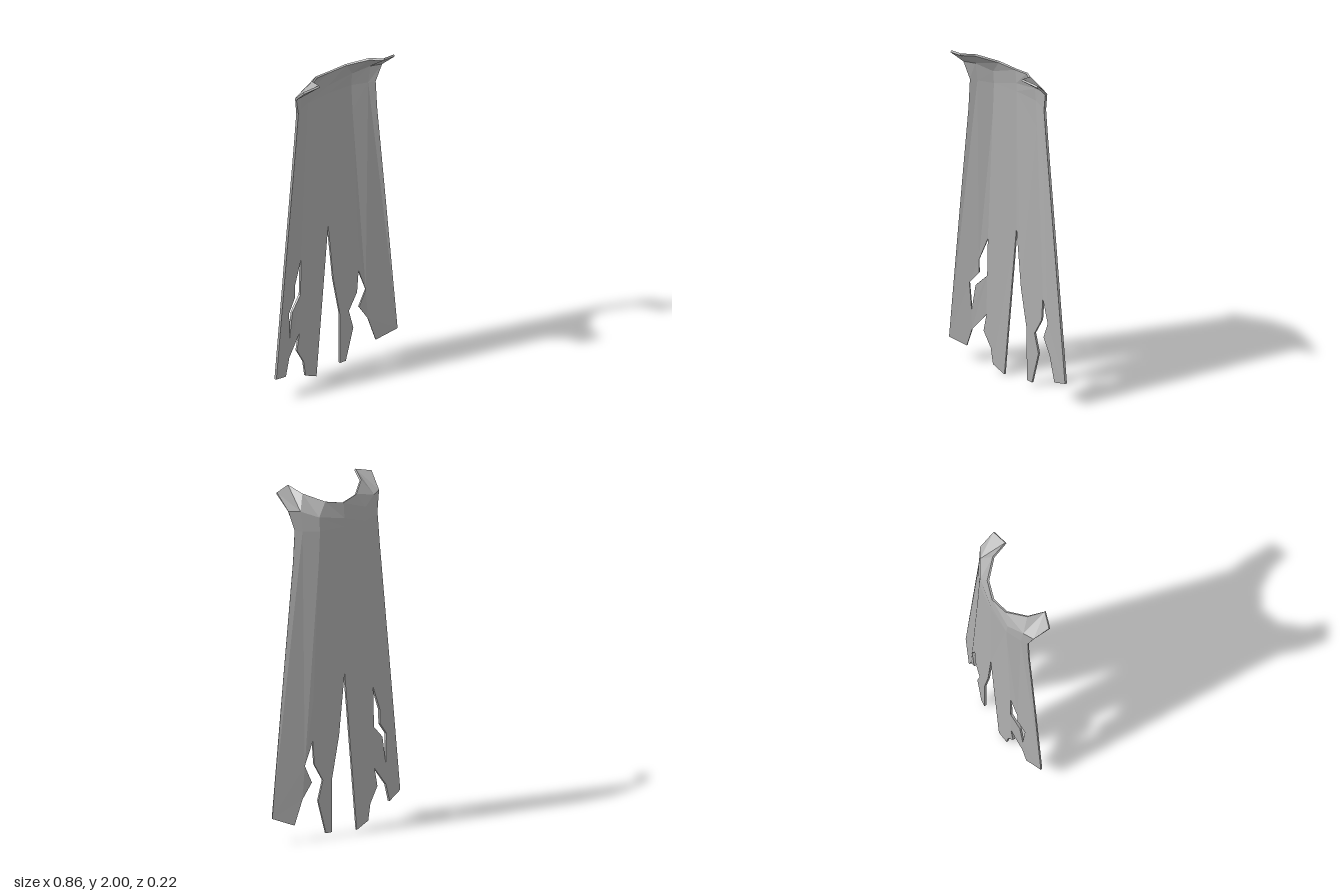
import * as THREE from 'three';

const THICKNESS = 0.012;

// Depth of the hanging cloth: shallow back between two creases, sides wrapping forward
function drape(x, y) {
  const a = Math.abs(x);
  const crease = 0.155 + (1.77 - y) * 0.043;
  const edge = 0.275 + (1.78 - y) * 0.095;
  if (a <= crease) return -0.107 + 0.012 * (a / crease);
  const t = Math.min(1, (a - crease) / (edge - crease));
  return -0.095 + 0.066 * Math.pow(t, 1.25);
}

// Turns front-facing outlines into one welded sheet, then gives it thickness
function clothGeometry(faces) {
  const points = [], lookup = new Map(), tris = [];
  const indexOf = ([x, y, z = drape(x, y)]) => {
    const key = `${x.toFixed(3)},${y.toFixed(3)}`;
    if (!lookup.has(key)) lookup.set(key, points.push(new THREE.Vector3(x, y, z)) - 1);
    return lookup.get(key);
  };
  for (const face of faces) {
    const ids = face.map(indexOf);
    const outline = face.map(([x, y]) => new THREE.Vector2(x, y));
    for (const [i, j, k] of THREE.ShapeUtils.triangulateShape(outline, [])) {
      const ccw = THREE.ShapeUtils.area([outline[i], outline[j], outline[k]]) > 0;
      tris.push(ccw ? [ids[i], ids[j], ids[k]] : [ids[i], ids[k], ids[j]]);
    }
  }
  const sheet = new THREE.BufferGeometry().setFromPoints(points);
  sheet.setIndex(tris.flat());
  sheet.computeVertexNormals();
  const normals = sheet.attributes.normal;
  const offset = (s) => points.map((p, i) =>
    p.clone().addScaledVector(new THREE.Vector3().fromBufferAttribute(normals, i), s * THICKNESS / 2));

  // Front and back skins, plus a rim along every edge used only once
  const n = points.length, index = [], edges = new Set();
  for (const [a, b, c] of tris) {
    index.push(a, b, c, a + n, c + n, b + n);
    for (const [p, q] of [[a, b], [b, c], [c, a]]) edges.add(`${p},${q}`);
  }
  for (const e of edges) {
    const [p, q] = e.split(',').map(Number);
    if (!edges.has(`${q},${p}`)) index.push(p, p + n, q + n, p, q + n, q);
  }
  const solid = new THREE.BufferGeometry().setFromPoints([...offset(1), ...offset(-1)]);
  solid.setIndex(index);
  const flat = solid.toNonIndexed();
  flat.computeVertexNormals();
  return flat;
}

const mirror = (face) => face.map(([x, ...rest]) => [-x, ...rest]);

export function createModel() {
  const group = new THREE.Group();
  group.name = 'tatteredCape';
  const grey = new THREE.MeshStandardMaterial({ color: 0xb0b0b0 });
  grey.name = 'grey cloth';

  // Seams shared by neighbouring panels, on the +x side
  const centre = [[0, 0.93], [0, 1.6], [0, 1.77]];
  const crease = [[0.155, 1.77], [0.163, 1.6], [0.2, 0.8]];
  const side = [[0.24, 1.775], [0.275, 1.78], [0.288, 1.6], [0.347, 1.0]];

  // Torn hanging panels
  const leftInner = [...centre, ...crease,
    [0.205, 0.57], [0.195, 0.435], [0.14, 0.335], [0.17, 0.22],
    [0.12, 0.025], [0.08, 0.025], [0.08, 0.335], [0.035, 0.575]];
  const leftOuter = [...[...crease].reverse(), ...side,
    [0.428, 0.15], [0.31, 0.1], [0.265, 0.245], [0.21, 0.335], [0.25, 0.435], [0.205, 0.57]];
  const rightInner = [...centre, ...mirror(crease),
    [-0.205, 0.57], [-0.21, 0.33], [-0.23, 0.225], [-0.18, 0.135], [-0.165, 0.04], [-0.085, 0.003]];
  const rightOuter = [...mirror([...crease].reverse()), ...mirror(side),
    [-0.428, 0.145], [-0.33, 0.11], [-0.3, 0.215], [-0.21, 0.33], [-0.205, 0.57],
    [-0.275, 0.495], [-0.3, 0.335], [-0.31, 0.505], [-0.255, 0.575], [-0.255, 0.655]];

  // Collar rising to a forward-leaning shoulder tip
  const tipOuter = [0.318, 1.975, 0.08], tipInner = [0.226, 1.995, 0.103];
  const rim = [[0, 1.905, -0.098], [0.103, 1.925, -0.073], [0.195, 1.965, 0.01]];
  const fold = [[0, 1.82, -0.106], [0.155, 1.848, -0.088], [0.245, 1.885, -0.04], [0.303, 1.89, -0.008]];
  const hem = [centre[2], crease[0], side[0], side[1]];
  const collar = [
    [rim[0], rim[1], fold[1], fold[0]],
    [rim[1], rim[2], fold[2], fold[1]],
    [rim[2], tipInner, fold[2]],
    [tipInner, tipOuter, fold[3], fold[2]],
    ...[0, 1, 2].map((i) => [fold[i], fold[i + 1], hem[i + 1], hem[i]]),
  ];

  const cape = new THREE.Mesh(clothGeometry([
    leftInner, leftOuter, rightInner, rightOuter, ...collar, ...collar.map(mirror),
  ]), grey);
  cape.name = 'capeCloth';
  group.add(cape);
  return group;
}
